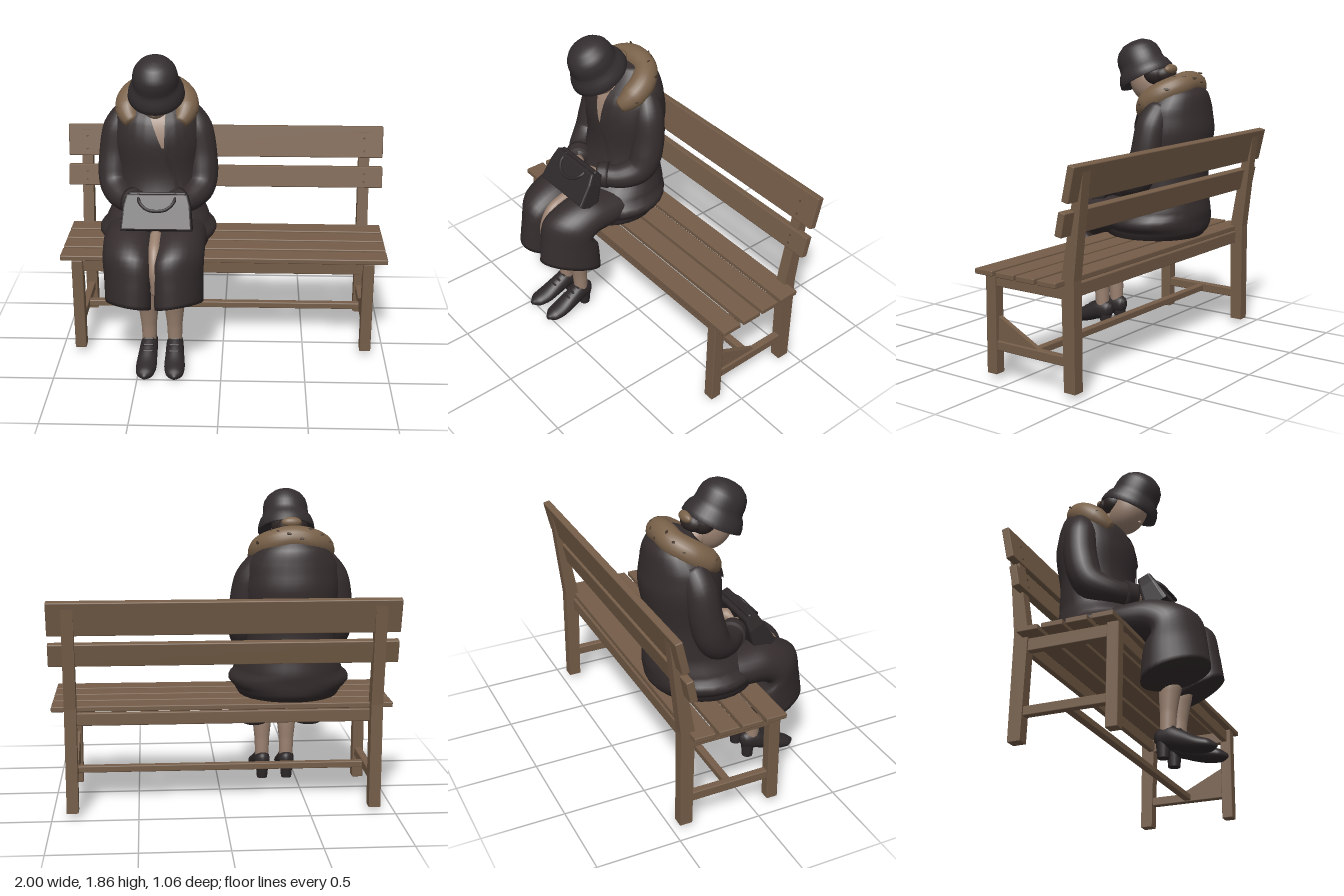
import * as THREE from 'three';
import { RoundedBoxGeometry } from 'three/addons/geometries/RoundedBoxGeometry.js';

const mat = (name, color, side = THREE.FrontSide) => {
  const m = new THREE.MeshStandardMaterial({ color, side });
  m.name = name;
  return m;
};
const V = (x, y, z) => new THREE.Vector3(x, y, z);

// Skin a list of rings {c, u, v}; u x v points along the path
function skin(rows, n = 28) {
  const pos = [], idx = [];
  for (const { c, u, v } of rows)
    for (let i = 0; i < n; i++) {
      const a = (i / n) * Math.PI * 2;
      const p = c.clone().addScaledVector(u, Math.cos(a)).addScaledVector(v, Math.sin(a));
      pos.push(p.x, p.y, p.z);
    }
  const last = rows.length - 1, s = rows.length * n;
  for (let j = 0; j < last; j++)
    for (let i = 0; i < n; i++) {
      const a = j * n + i, b = j * n + (i + 1) % n;
      idx.push(a, b, b + n, a, b + n, a + n);
    }
  pos.push(...rows[0].c.toArray(), ...rows[last].c.toArray());
  for (let i = 0; i < n; i++) {
    const k = (i + 1) % n;
    idx.push(s, k, i, s + 1, last * n + i, last * n + k);
  }
  const g = new THREE.BufferGeometry();
  g.setAttribute('position', new THREE.Float32BufferAttribute(pos, 3));
  g.setIndex(idx);
  g.computeVertexNormals();
  return g;
}

// Smooth loft through a few key rings
function loft(rings, steps = 28) {
  const [c, u, v] = ['c', 'u', 'v'].map(k => new THREE.CatmullRomCurve3(rings.map(r => r[k])));
  return skin(Array.from({ length: steps + 1 }, (_, j) => {
    const t = j / steps;
    return { c: c.getPoint(t), u: u.getPoint(t), v: v.getPoint(t) };
  }));
}

// Round tube whose radius changes along the path
function limb(points, radii, steps = 24) {
  const path = new THREE.CatmullRomCurve3(points);
  const f = path.computeFrenetFrames(steps);
  return skin(Array.from({ length: steps + 1 }, (_, j) => {
    const q = (j / steps) * (radii.length - 1), k = Math.min(Math.floor(q), radii.length - 2);
    const r = THREE.MathUtils.lerp(radii[k], radii[k + 1], q - k);
    return { c: path.getPointAt(j / steps), u: f.normals[j].clone().multiplyScalar(r), v: f.binormals[j].clone().multiplyScalar(r) };
  }), 20);
}

export function createModel() {
  const wood = mat('wood', 0x755d48), bolt = mat('bolt iron', 0x54442f);
  const coat = mat('coat cloth', 0x352d2e), felt = mat('hat felt', 0x332d2f);
  const leather = mat('dark leather', 0x2d2728), fur = mat('fur', 0x7a624a);
  const furDark = mat('dark fur', 0x453629);
  const flesh = mat('skin', 0x9a8170, THREE.DoubleSide), hairMat = mat('hair', 0x2f2726);
  const cloth = mat('lapel cloth', 0x332b2c, THREE.DoubleSide);
  const model = new THREE.Group(), bench = new THREE.Group(), woman = new THREE.Group();
  bench.name = 'bench';
  woman.name = 'seatedWoman';
  woman.position.x = -0.405;
  model.add(bench, woman);

  const add = (parent, name, geo, m, x = 0, y = 0, z = 0, rx = 0) => {
    const mesh = new THREE.Mesh(geo, m);
    mesh.name = name;
    mesh.position.set(x, y, z);
    mesh.rotation.x = rx;
    parent.add(mesh);
    return mesh;
  };
  const plank = (name, w, h, d, x, y, z, rx) =>
    add(bench, name, new RoundedBoxGeometry(w, h, d, 1, 0.006), wood, x, y, z, rx);
  const sideProfile = (name, pts, width, x) => {
    const g = new THREE.ExtrudeGeometry(new THREE.Shape(pts.map(p => new THREE.Vector2(...p))), { depth: width, bevelEnabled: false });
    g.translate(0, 0, -width / 2).rotateY(-Math.PI / 2);
    return add(bench, name, g, wood, x);
  };

  // Bench planks
  for (const z of [0.107, -0.043, -0.187, -0.335]) plank('seatSlat', 1.98, 0.032, 0.127, 0.005, 0.635, z).rotation.y = -0.005;
  plank('upperBackRail', 2, 0.2, 0.045, 0, 1.182, -0.483, -0.22);
  plank('lowerBackRail', 2, 0.135, 0.045, 0, 0.965, -0.428, -0.2);
  plank('frontApron', 1.72, 0.075, 0.035, 0, 0.577, 0.125);
  plank('rearApron', 1.72, 0.075, 0.035, 0, 0.577, -0.39);
  plank('longStretcher', 1.74, 0.04, 0.045, 0, 0.197, -0.14);

  // Bench ends
  for (const s of [-1, 1]) {
    const x = 0.882 * s;
    plank('frontLeg', 0.068, 0.59, 0.07, x, 0.325, 0.133);
    sideProfile('backPost', [[-0.46, 0.03], [-0.385, 0.03], [-0.37, 0.65], [-0.475, 1.25], [-0.52, 1.25], [-0.455, 0.65]], 0.068, x);
    plank('sideApron', 0.045, 0.075, 0.5, x, 0.577, -0.13);
    plank('sideStretcher', 0.045, 0.055, 0.5, x, 0.197, -0.14);
    for (const [y, z] of [[1.21, -0.466], [1.13, -0.448], [0.99, -0.41], [0.94, -0.4]])
      add(bench, 'bolt', new THREE.CylinderGeometry(0.006, 0.006, 0.008, 10), bolt, x, y, z, Math.PI / 2 - 0.21);
  }
  sideProfile('cornerBrace', [[0.11, 0.2], [0.11, 0.37], [-0.23, 0.2]], 0.03, 0.875);

  // Coat body, from seat to neck
  const body = [[0.65, -0.08, 0.3, 0.3], [0.7, -0.095, 0.322, 0.322], [0.8, -0.115, 0.322, 0.315], [0.92, -0.175, 0.272, 0.24],
    [1.1, -0.205, 0.26, 0.21], [1.3, -0.22, 0.28, 0.226], [1.44, -0.23, 0.265, 0.2], [1.54, -0.26, 0.2, 0.15], [1.61, -0.26, 0.11, 0.09]];
  const torso = add(woman, 'coatBody', loft(body.map(([y, z, rx, rz]) => ({ c: V(0, y, z), u: V(rx, 0, 0), v: V(0, 0, -rz) })), 40), coat);

  // Patch with four corners, laid on the front of the coat
  const ray = new THREE.Raycaster();
  const patch = (name, [a, b, c, d], m, lift) => {
    const g = new THREE.PlaneGeometry(1, 1, 12, 12), p = g.attributes.position;
    for (let i = 0; i < p.count; i++) {
      const s = p.getX(i) + 0.5, t = 0.5 - p.getY(i);
      const at = k => THREE.MathUtils.lerp(THREE.MathUtils.lerp(a[k], b[k], s), THREE.MathUtils.lerp(d[k], c[k], s), t);
      ray.set(V(at(0), at(1), 2), V(0, 0, -1));
      const hit = ray.intersectObject(torso)[0];
      p.setXYZ(i, at(0), at(1), (hit ? hit.point.z : -0.2) + lift);
    }
    g.computeVertexNormals();
    add(woman, name, g, m);
  };
  patch('bareChest', [[-0.055, 1.53], [0.065, 1.53], [0.052, 1.29], [0.035, 1.29]], flesh, 0.006);
  patch('rightLapel', [[-0.12, 1.47], [-0.05, 1.5], [0.06, 1.24], [-0.17, 1.35]], cloth, 0.014);
  patch('leftLapel', [[0.06, 1.5], [0.15, 1.47], [0.19, 1.35], [0.05, 1.22]], cloth, 0.014);
  patch('coatOverlap', [[0.04, 1.26], [0.07, 1.26], [0.15, 1.02], [0.12, 1.02]], cloth, 0.012);

  // Skirt of the coat over thighs, knees and shins; the outer edges sweep back
  const skirt = [[0.77, -0.16, 0.125, 0.09, 0, 0], [0.76, 0.08, 0.155, 0.112, 0, 0.01], [0.75, 0.25, 0.152, 0.123, 0.01, 0.03],
    [0.69, 0.35, 0.148, 0.09, 0.1, 0.05], [0.58, 0.345, 0.144, 0.03, 0.15, 0.06], [0.42, 0.345, 0.142, 0.06, 0.17, 0.06]];
  for (const s of [-1, 1]) {
    add(woman, 'coatSkirt', loft(skirt.map(([y, z, rx, vy, vz, back]) => ({ c: V(0.152 * s, y, z), u: V(rx, 0, -back * s), v: V(0, vy, vz) }))), coat);

    // Sleeve, cuff and hand
    add(woman, 'sleeve', limb([V(0.18 * s, 1.46, -0.23), V(0.238 * s, 1.36, -0.21), V(0.268 * s, 1.17, -0.185), V(0.265 * s, 1.02, -0.13),
      V(0.205 * s, 0.965, -0.02), V(0.1 * s, 0.965, 0.08)], [0.075, 0.095, 0.096, 0.098, 0.092, 0.075, 0.062], 32), coat);
    add(woman, 'cuff', limb([V(0.155 * s, 0.965, 0.03), V(0.1 * s, 0.965, 0.08)], [0.083, 0.074], 4), coat);
    add(woman, 'hand', limb([V(0.1 * s, 0.96, 0.08), V(0.06 * s, 0.97, 0.11), V(0.01 * s, 0.95, 0.14)], [0.035, 0.04, 0.02], 10), flesh);

    // Lower leg and heeled shoe
    const leg = 0.04 + 0.078 * s;
    add(woman, 'lowerLeg', limb([V(leg, 0.12, 0.25), V(leg, 0.25, 0.255), V(leg, 0.38, 0.265), V(leg, 0.52, 0.29)], [0.042, 0.047, 0.062, 0.06]), flesh);
    const shoe = [[0.175, 0.12, 0.015, 0.025], [0.2, 0.115, 0.044, 0.052], [0.27, 0.11, 0.053, 0.065], [0.34, 0.082, 0.057, 0.06],
      [0.42, 0.05, 0.062, 0.046], [0.49, 0.036, 0.052, 0.034], [0.53, 0.03, 0.012, 0.012]];
    add(woman, 'shoe', loft(shoe.map(([z, y, rx, ry]) => ({ c: V(leg + (z - 0.25) * 0.04 * s, y, z), u: V(rx, 0, 0), v: V(0, ry, 0) }))), leather);
    add(woman, 'shoeHeel', new THREE.CylinderGeometry(0.042, 0.033, 0.1, 16), leather, leg, 0.05, 0.225);
    for (const [y, z] of [[0.163, 0.29], [0.143, 0.33], [0.12, 0.365]])
      add(woman, 'shoeLace', new THREE.CapsuleGeometry(0.008, 0.05, 3, 8).rotateZ(Math.PI / 2), leather, leg, y, z);
  }
  add(woman, 'skirtOpening', limb([V(0.015, 0.83, 0.24), V(0.015, 0.78, 0.37), V(0.015, 0.68, 0.43), V(0.015, 0.53, 0.44)], [0.035, 0.035, 0.03, 0.015]), flesh);

  // Head, bowed forward
  add(woman, 'neck', limb([V(0, 1.47, -0.2), V(0, 1.55, -0.13), V(0, 1.6, -0.06)], [0.085, 0.065, 0.065]), flesh);
  add(woman, 'head', new THREE.SphereGeometry(1, 28, 20).scale(0.1, 0.145, 0.115), flesh, 0, 1.602, -0.016, 0.5);
  add(woman, 'chin', new THREE.SphereGeometry(1, 16, 12).scale(0.045, 0.04, 0.045), flesh, 0, 1.5, -0.035);
  add(woman, 'nose', new THREE.ConeGeometry(0.018, 0.06, 10), flesh, 0, 1.54, 0.063, 0.3);
  add(woman, 'hair', new THREE.SphereGeometry(1, 24, 16).scale(0.108, 0.085, 0.085), hairMat, 0, 1.65, -0.09, 0.5);
  add(woman, 'hairBun', new THREE.SphereGeometry(1, 20, 14).scale(0.085, 0.06, 0.06), hairMat, 0, 1.648, -0.145, 0.4);
  add(woman, 'hairKnot', new THREE.SphereGeometry(1, 16, 12).scale(0.06, 0.032, 0.032), fur, 0, 1.678, -0.182, 0.4);

  // Bell-shaped hat
  const bell = [[0, 0.03], [0.15, 0.02], [0.173, -0.003], [0.183, 0], [0.179, 0.03], [0.166, 0.065], [0.15, 0.085], [0.146, 0.11], [0.145, 0.14],
    [0.136, 0.178], [0.114, 0.21], [0.077, 0.236], [0.036, 0.246], [0, 0.248]].map(p => new THREE.Vector2(...p));
  const hat = new THREE.LatheGeometry(bell, 40).scale(0.92, 1, 1);
  add(woman, 'hat', hat, felt, 0.011, 1.616, -0.02, 0.48);

  // Fur collar with dark tufts
  const half = [[0.138, 1.42, -0.075], [0.168, 1.465, -0.125], [0.168, 1.53, -0.215], [0.1, 1.58, -0.295]];
  const ring = [...half.map(p => V(...p)), V(0, 1.6, -0.31), ...half.slice().reverse().map(([x, y, z]) => V(-x, y, z))];
  add(woman, 'furCollar', limb(ring, [0.045, 0.078, 0.078, 0.074, 0.074, 0.074, 0.078, 0.078, 0.045], 48), fur);
  const collarPath = new THREE.CatmullRomCurve3(ring);
  for (let i = 0; i < 14; i++) {
    const c = collarPath.getPointAt(0.1 + i * 0.061), a = 0.1 + ((i * 5) % 7) * 0.2;
    const out = V(c.x, 0, c.z + 0.16).normalize().multiplyScalar(Math.cos(a)).add(V(0, Math.sin(a), 0));
    const size = 0.012 + ((i * 3) % 5) * 0.003;
    const tuft = add(woman, 'darkTuft', new THREE.SphereGeometry(1, 10, 6).scale(size, size * 0.4, 0.004), furDark);
    tuft.position.copy(c).addScaledVector(out, 0.074);
    tuft.lookAt(tuft.position.clone().add(out));
  }

  // Handbag leaning back on the lap, wider at its base
  const bag = new THREE.Group();
  bag.name = 'handbag';
  bag.position.set(0.02, 0.95, 0.2);
  bag.rotation.x = -0.42;
  woman.add(bag);
  const bagShape = new THREE.Shape([[-0.2, -0.095], [0.2, -0.095], [0.188, 0.04], [0.172, 0.1], [-0.172, 0.1], [-0.188, 0.04]].map(p => new THREE.Vector2(...p)));
  const bagGeo = new THREE.ExtrudeGeometry(bagShape, { depth: 0.07, bevelSize: 0.012, bevelThickness: 0.015, bevelSegments: 3 });
  bagGeo.translate(0, 0, -0.035);
  const bp = bagGeo.attributes.position;
  for (let i = 0; i < bp.count; i++) bp.setZ(i, bp.getZ(i) * (1.15 - bp.getY(i) * 3));
  bagGeo.computeVertexNormals();
  add(bag, 'bagBody', bagGeo, leather);
  add(bag, 'bagClasp', new THREE.CapsuleGeometry(0.014, 0.32, 4, 10).rotateZ(Math.PI / 2), leather, 0, 0.112, 0);
  add(bag, 'bagHandle', new THREE.TubeGeometry(new THREE.CatmullRomCurve3([V(-0.11, 0.11, 0.02), V(-0.1, 0.06, 0.055), V(-0.05, 0.015, 0.07),
    V(0.05, 0.015, 0.07), V(0.1, 0.06, 0.055), V(0.11, 0.11, 0.02)]), 28, 0.01, 8), leather);
  return model;
}
